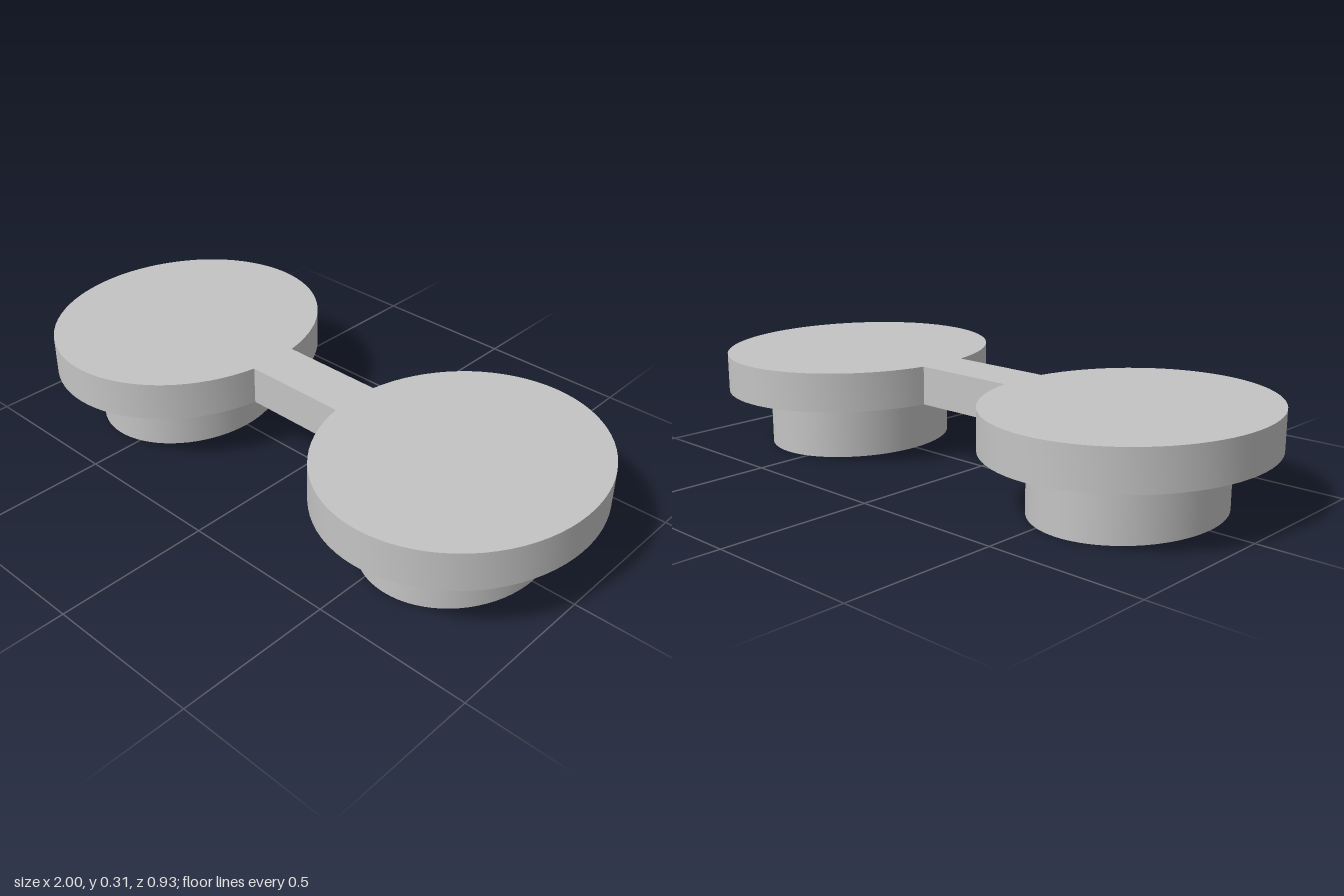
import * as THREE from 'three';
import { toCreasedNormals } from 'three/addons/utils/BufferGeometryUtils.js';

export function createModel() {
  const group = new THREE.Group();
  const grey = new THREE.MeshStandardMaterial({ color: 0xc4c4c4 });
  grey.name = 'lightGrey';

  const centerX = 0.584, plateRX = 0.416, plateRZ = 0.467;
  const pegRX = 0.275, pegRZ = 0.327;
  const plateBottom = 0.19, plateTop = 0.315, bridgeHalf = 0.085;

  // Two oval plates and the straight bridge, as one dumbbell outline
  const a = Math.asin(bridgeHalf / plateRZ);
  const outline = new THREE.Shape();
  outline.absellipse(centerX, 0, plateRX, plateRZ, -Math.PI + a, Math.PI - a, false);
  outline.absellipse(-centerX, 0, plateRX, plateRZ, a, 2 * Math.PI - a, false);
  outline.closePath();
  const plateGeometry = new THREE.ExtrudeGeometry(outline, {
    depth: plateTop - plateBottom, bevelEnabled: false, curveSegments: 36,
  });
  plateGeometry.rotateX(-Math.PI / 2);
  const plate = new THREE.Mesh(toCreasedNormals(plateGeometry, 0.5), grey);
  plate.name = 'dumbbellPlate';
  plate.position.y = plateBottom;
  group.add(plate);

  // Oval peg under each plate
  for (const side of [-1, 1]) {
    const geometry = new THREE.CylinderGeometry(1, 1, plateBottom, 72);
    geometry.scale(pegRX, 1, pegRZ);
    const peg = new THREE.Mesh(geometry, grey);
    peg.name = side > 0 ? 'leftPeg' : 'rightPeg';
    peg.position.set(side * centerX, plateBottom / 2, 0);
    group.add(peg);
  }

  return group;
}
